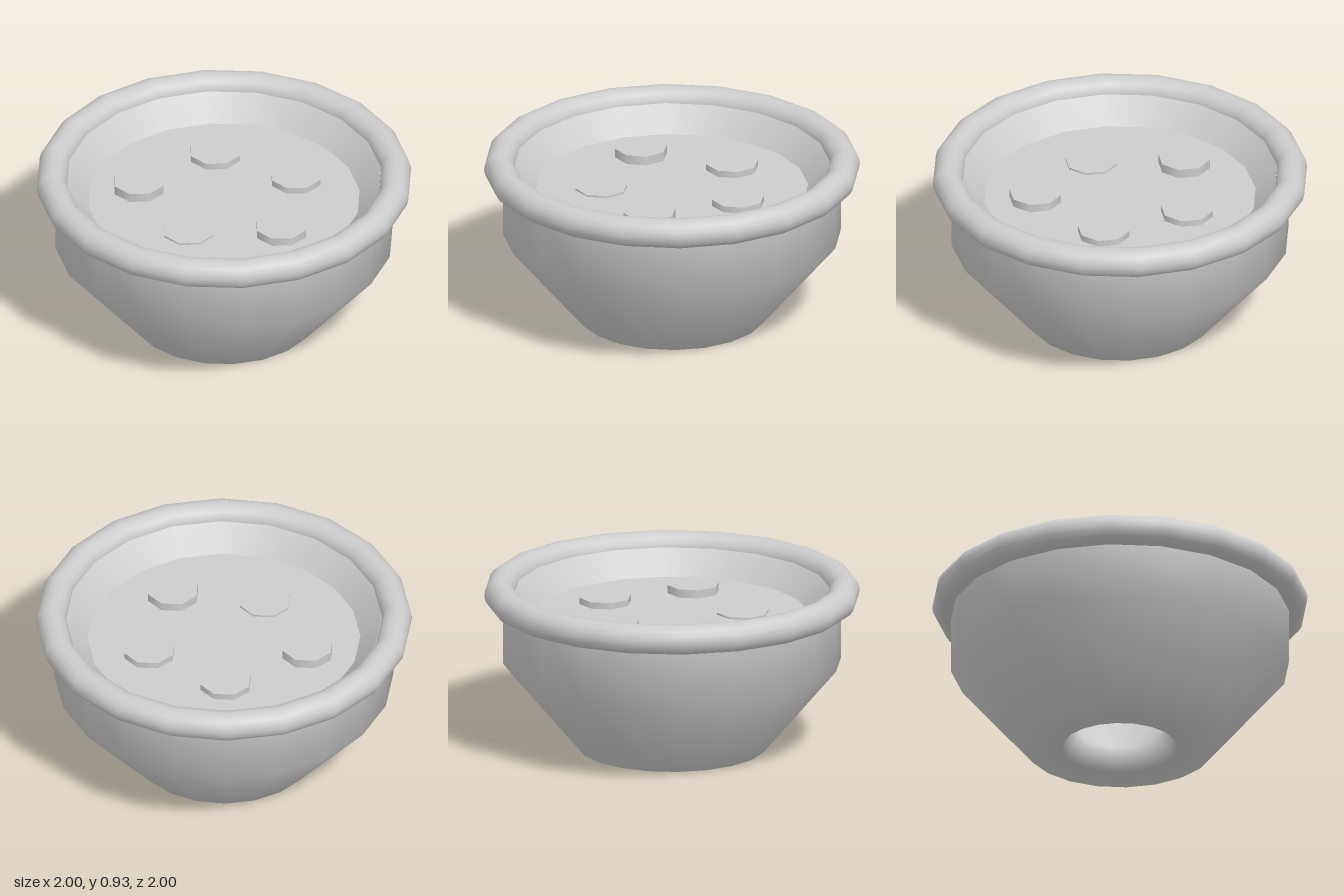
import * as THREE from 'three';

export function createModel() {
  const model = new THREE.Group();
  const SIDES = 20;
  const grey = new THREE.MeshStandardMaterial({ color: 0xcccccc });
  grey.name = 'grey';
  const add = (name, geometry, x = 0, y = 0, z = 0) => {
    const mesh = new THREE.Mesh(geometry, grey);
    mesh.name = name;
    mesh.position.set(x, y, z);
    model.add(mesh);
    return mesh;
  };

  // Thick pot wall: down the inside, through the drain hole, up the outside
  const profile = [
    [0.84, 0.86], [0.725, 0.73], [0.235, 0.11], [0.31, 0],
    [0.5, 0], [0.9, 0.475], [0.9, 0.85],
  ].map(([r, y]) => new THREE.Vector2(r, y));
  add('potBody', new THREE.LatheGeometry(profile, SIDES));

  // Rounded lip
  add('rim', new THREE.TorusGeometry(0.92, 0.08, 16, SIDES).rotateX(-Math.PI / 2), 0, 0.85);

  // Soil surface inside the pot
  const SOIL_Y = 0.73;
  add('soil', new THREE.CylinderGeometry(0.726, 0.71, 0.02, SIDES), 0, SOIL_Y - 0.01);

  // Octagonal pebbles resting on the soil: x, z, height above the soil
  const pebbles = [
    [-0.375, -0.27, 0.05], [0.125, -0.39, 0.035], [0.42, 0, 0.035],
    [0.14, 0.43, 0.045], [-0.305, 0.22, 0.01],
  ];
  const thickness = 0.06;
  pebbles.forEach(([x, z, h], i) => {
    add(`pebble${i + 1}`, new THREE.CylinderGeometry(0.14, 0.14, thickness, 8), x, SOIL_Y + h - thickness / 2, z);
  });

  return model;
}
